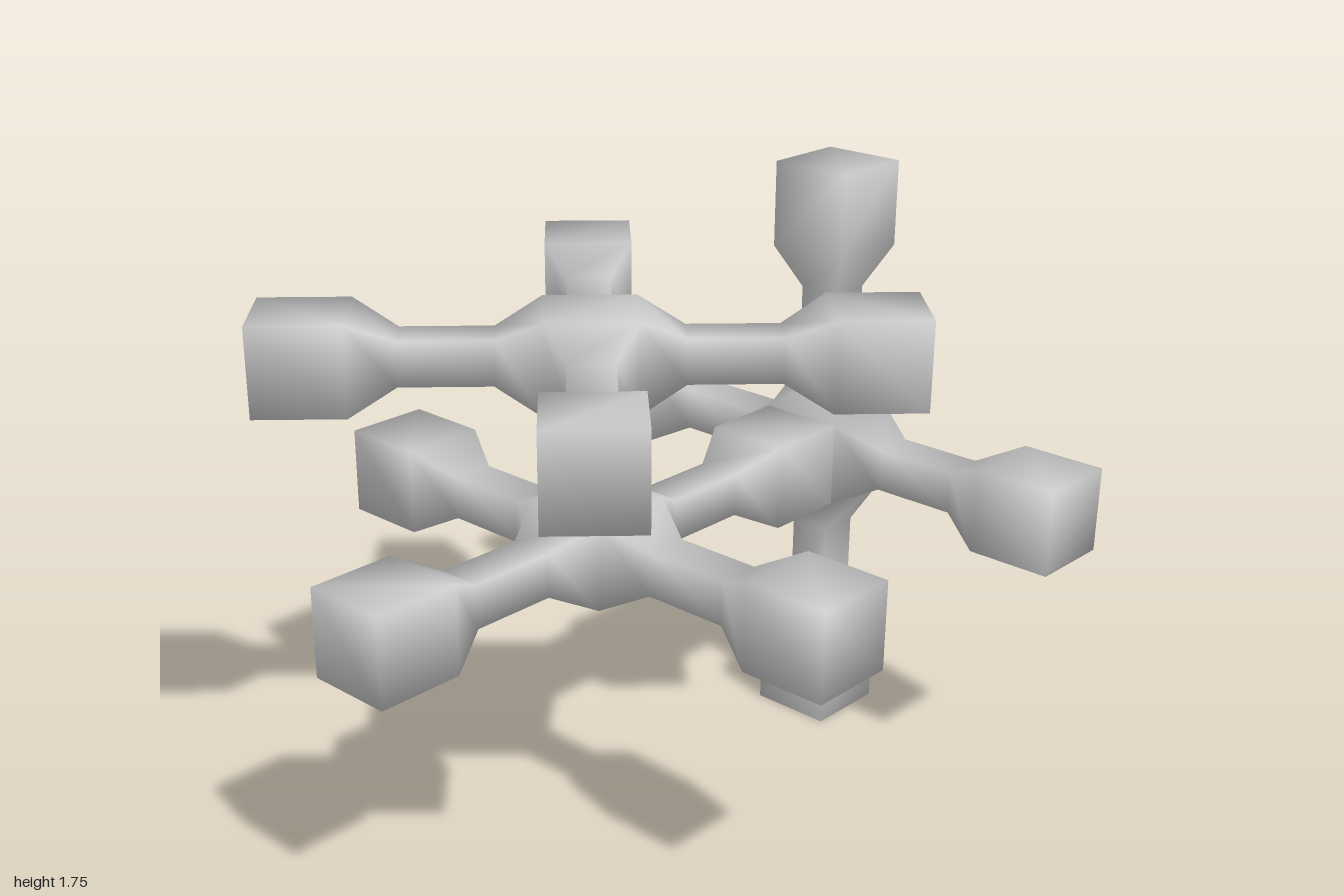
import * as THREE from 'three';
import { mergeVertices } from 'three/addons/utils/BufferGeometryUtils.js';

const material = new THREE.MeshStandardMaterial({ color: 0xcccccc });

// Arm profile from the hub outwards: [distance from centre, half width]
const HUB = [[0.125, 0.125]];
const ARM = [[0.125, 0.125], [0.25, 0.0625], [0.5, 0.0625], [0.625, 0.125], [0.875, 0.125]];
const CORNERS = [[-1, -1], [1, -1], [1, 1], [-1, 1]];

// Adds a square tube along u that follows the profile and ends in a cap
function addArm(points, u, v, profile) {
  const w = u.clone().cross(v);
  const rings = profile.map(([d, h]) => CORNERS.map(([a, b]) =>
    u.clone().multiplyScalar(d).addScaledVector(v, a * h).addScaledVector(w, b * h)));
  const quad = (a, b, c, d) => points.push(a, b, c, a, c, d);
  for (let i = 0; i + 1 < rings.length; i++) {
    for (let k = 0; k < 4; k++) {
      const n = (k + 1) % 4;
      quad(rings[i][k], rings[i][n], rings[i + 1][n], rings[i + 1][k]);
    }
  }
  quad(...rings[rings.length - 1]);
}

// Shares the corners so that the shading runs smoothly over them
function smooth(geometry) {
  geometry.deleteAttribute('normal');
  geometry.deleteAttribute('uv');
  const merged = mergeVertices(geometry, 1e-4);
  merged.computeVertexNormals();
  return merged;
}

// Four knobbed arms in the xy plane around a cube hub
function crossGeometry() {
  const points = [];
  const z = new THREE.Vector3(0, 0, 1);
  for (let i = 0; i < 4; i++) {
    const a = i * Math.PI / 2;
    addArm(points, new THREE.Vector3(Math.round(Math.cos(a)), Math.round(Math.sin(a)), 0), z, ARM);
  }
  for (const s of [1, -1]) addArm(points, new THREE.Vector3(0, 0, s), new THREE.Vector3(1, 0, 0), HUB);
  return smooth(new THREE.BufferGeometry().setFromPoints(points));
}

export function createModel() {
  const model = new THREE.Group();
  const add = (name, geometry, x, y, z) => {
    const mesh = new THREE.Mesh(geometry, material);
    mesh.name = name;
    mesh.position.set(x, y, z);
    model.add(mesh);
  };

  // Upright cross at the back, which the model stands on
  add('uprightCross', crossGeometry(), 0, 0.875, -0.875);

  // Flat cross reaching forward from the upright hub
  add('lowerCross', crossGeometry().rotateX(-Math.PI / 2), 0, 0.875, 0.125);

  // Post carrying the diagonal cross
  add('post', smooth(new THREE.BoxGeometry(0.125, 0.29, 0.125)), 0, 1.143, 0.133);

  // Flat cross on top, turned to the diagonals
  add('upperCross', crossGeometry().rotateZ(Math.PI / 4).rotateX(-Math.PI / 2), -0.005, 1.411, 0.142);

  return model;
}
